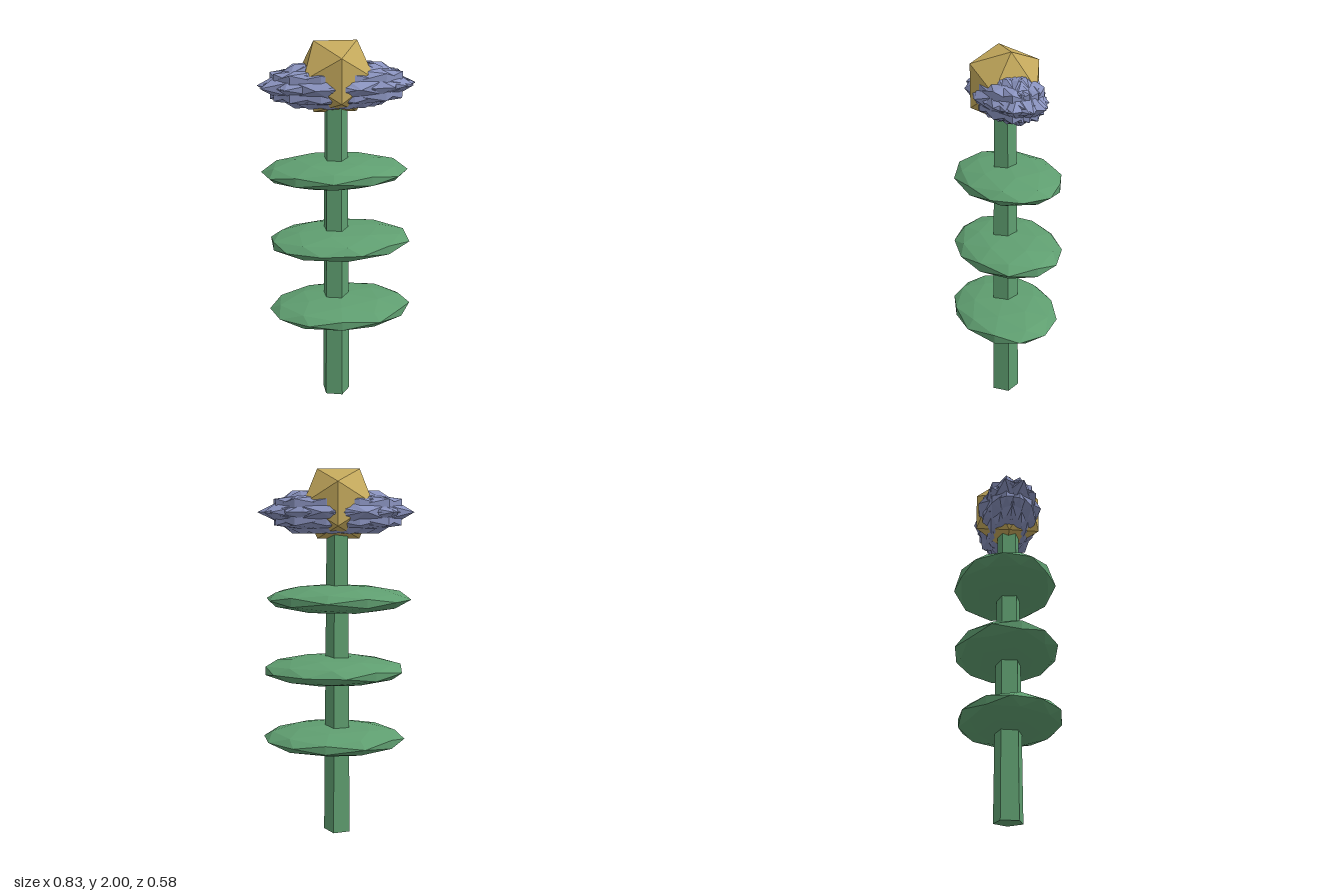
import * as THREE from 'three';

const material = (color) => new THREE.MeshStandardMaterial({ color, flatShading: true });

// Faceted ellipsoid: the facets are turned first, then stretched, so the outline keeps its axes
function facetedBlob(name, mat, detail, turn, size, position) {
  const geometry = new THREE.IcosahedronGeometry(1, detail);
  geometry.rotateY(turn);
  geometry.scale(...size);
  const mesh = new THREE.Mesh(geometry, mat);
  mesh.name = name;
  mesh.position.set(...position);
  return mesh;
}

export function createModel() {
  const model = new THREE.Group();
  model.name = 'flower';
  const green = material(0x5f9e70);
  const blue = material(0x8a93bf);
  const gold = material(0xc4a95c);

  // Five-sided tapering stem, one edge pointing to +x
  const stemGeometry = new THREE.CylinderGeometry(0.063, 0.08, 1.7, 5);
  stemGeometry.rotateY(Math.PI / 2);
  const stem = new THREE.Mesh(stemGeometry, green);
  stem.name = 'stem';
  stem.position.set(-0.015, 0.85, 0.011);
  model.add(stem);

  // Three flat leaf discs, each turned differently
  const leaves = [
    { position: [0.01, 0.535, 0.02], turn: 0.45 },
    { position: [0.01, 0.925, 0.0], turn: 1.2 },
    { position: [-0.015, 1.315, -0.01], turn: -0.14 },
  ];
  for (const { position, turn } of leaves) {
    model.add(facetedBlob('leafDisc', green, 1, turn, [0.395, 0.077, 0.285], position));
  }

  // Spiky blossom: a ring of interpenetrating stretched petals
  const petals = new THREE.Group();
  petals.name = 'petals';
  const count = 12;
  for (let i = 0; i < count; i++) {
    const angle = (i / count) * Math.PI * 2 + 0.1;
    const position = [-0.004 + 0.025 * Math.cos(angle), 1.775, 0.006 + 0.01 * Math.sin(angle)];
    petals.add(facetedBlob('petal', blue, 0, angle * 1.06, [0.4, 0.131, 0.183], position));
  }
  model.add(petals);

  // Gold centre
  model.add(facetedBlob('flowerCentre', gold, 0, 0, [0.214, 0.214, 0.214], [-0.015, 1.818, 0.007]));

  return model;
}
